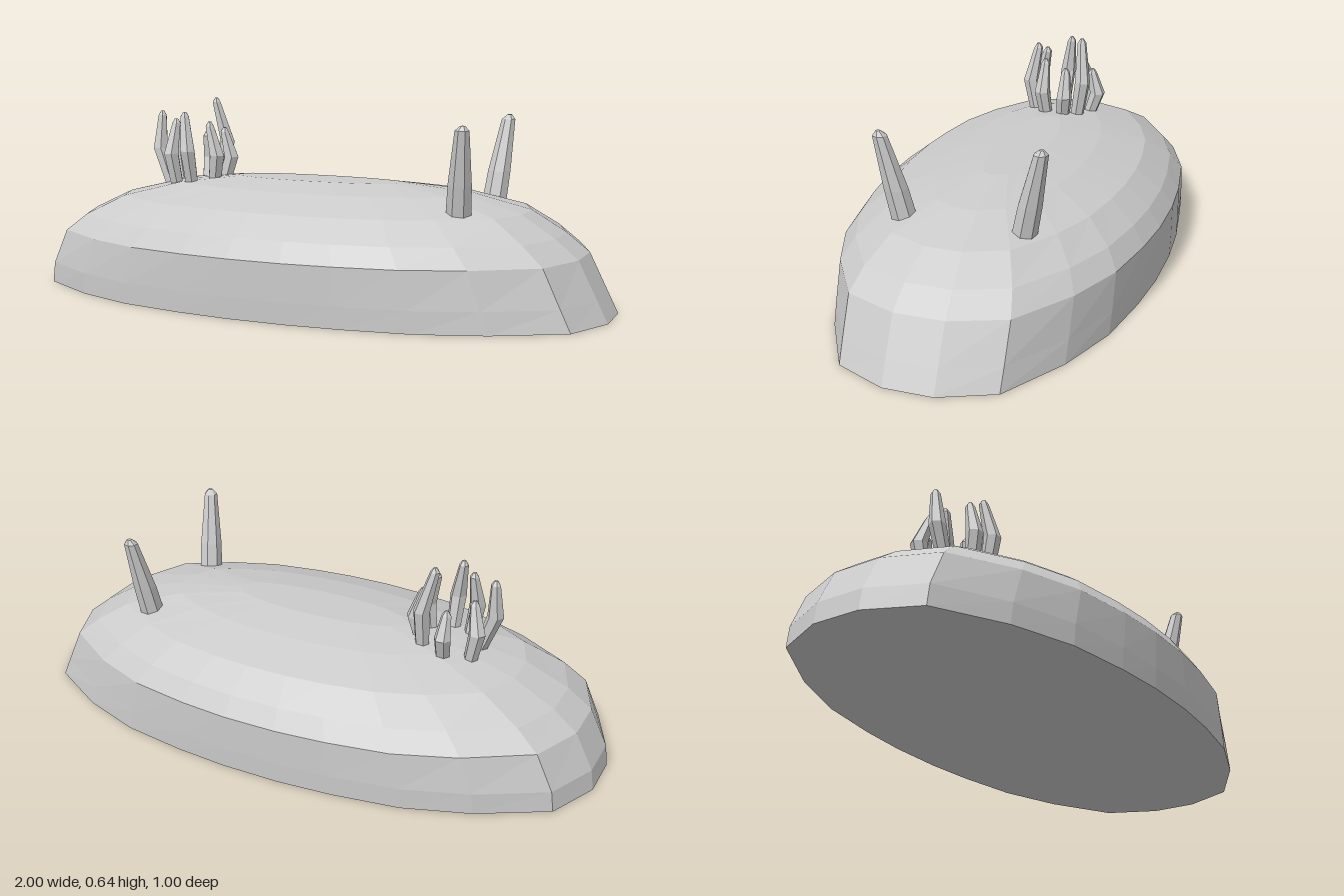
import * as THREE from 'three';

const material = new THREE.MeshStandardMaterial({ color: 0xcccccc, flatShading: true });

// Skin a stack of equal-length rings (counter-clockwise seen from the far end) and close both ends.
function skin(rings, name) {
  const n = rings[0].length;
  const centre = ring => ring.reduce((sum, p) => sum.add(p), new THREE.Vector3()).divideScalar(n);
  const first = centre(rings[0]), last = centre(rings[rings.length - 1]);
  const points = [];
  for (let j = 0; j < n; j++) {
    const k = (j + 1) % n;
    points.push(first, rings[0][k], rings[0][j]);
    for (let i = 0; i < rings.length - 1; i++) {
      const a = rings[i], b = rings[i + 1];
      points.push(a[j], a[k], b[k], a[j], b[k], b[j]);
    }
    const top = rings[rings.length - 1];
    points.push(last, top[j], top[k]);
  }
  const geometry = new THREE.BufferGeometry().setFromPoints(points);
  geometry.computeVertexNormals();
  const mesh = new THREE.Mesh(geometry, material);
  mesh.name = name;
  return mesh;
}

// Domed body: one rounded outline scaled at each height.
function createBody() {
  const quarter = [[1, 0.16], [0.925, 0.5], [0.71, 0.75], [0.5, 0.9], [0.28, 0.97], [0.1, 1]];
  const mirrored = [...quarter].reverse();
  const outline = [
    ...quarter.map(([x, z]) => [x, -z]),
    ...mirrored.map(([x, z]) => [-x, -z]),
    ...quarter.map(([x, z]) => [-x, z]),
    ...mirrored.map(([x, z]) => [x, z]),
  ];
  // height, tail reach, head reach, half width
  const levels = [
    [0, 1, 1, 0.495], [0.07, 0.99, 0.965, 0.498], [0.19, 0.93, 0.905, 0.5],
    [0.25, 0.85, 0.83, 0.46], [0.317, 0.71, 0.72, 0.375],
    [0.365, 0.51, 0.53, 0.225], [0.388, 0.3, 0.3, 0.085],
  ];
  return skin(levels.map(([y, tail, head, width]) =>
    outline.map(([x, z]) => new THREE.Vector3(x * (x < 0 ? tail : head), y, z * width))), 'body');
}

// Tapered stalk: horizontal rings swept through [x, y, z, radius] stations.
function createStalk(stations, sides, name) {
  return skin(stations.map(([x, y, z, r]) => Array.from({ length: sides }, (_, i) => {
    const a = (i / sides) * Math.PI * 2;
    return new THREE.Vector3(x + r * Math.cos(a), y, z - r * Math.sin(a));
  })), name);
}

export function createModel() {
  const model = new THREE.Group();
  model.name = 'seaSlug';
  model.add(createBody());

  // Pair of head feelers, leaning outward
  for (const side of [1, -1]) {
    model.add(createStalk([
      [0.555, 0.31, side * 0.19, 0.041],
      [0.565, 0.42, side * 0.213, 0.038],
      [0.582, 0.59, side * 0.252, 0.023],
      [0.585, 0.605, side * 0.256, 0.008],
    ], 7, side > 0 ? 'leftFeeler' : 'rightFeeler'));
  }

  // Ring of gills on the back: base x, base z, tip height, tip x, tip z
  const gills = new THREE.Group();
  gills.name = 'gills';
  const fronds = [
    [-0.56, -0.055, 0.545, -0.56, -0.04], [-0.48, -0.09, 0.52, -0.49, -0.1],
    [-0.4, -0.065, 0.645, -0.435, -0.073], [-0.38, -0.02, 0.545, -0.38, -0.03],
    [-0.385, 0.04, 0.57, -0.395, 0.05], [-0.44, 0.095, 0.605, -0.465, 0.1],
    [-0.505, 0.085, 0.58, -0.51, 0.08], [-0.56, 0.03, 0.6, -0.605, 0.015],
  ];
  for (const [x, z, tip, tx, tz] of fronds) {
    const base = 0.34, rise = tip - base;
    const out = new THREE.Vector2(x + 0.47, z - 0.01).setLength(0.025);
    const mx = (x + tx) / 2 + out.x, mz = (z + tz) / 2 + out.y;
    gills.add(createStalk([
      [x, base, z, 0.023],
      [mx, base + rise * 0.5, mz, 0.028],
      [tx, tip - 0.015, tz, 0.016],
      [tx, tip, tz, 0.006],
    ], 6, 'gill'));
  }
  model.add(gills);
  return model;
}
